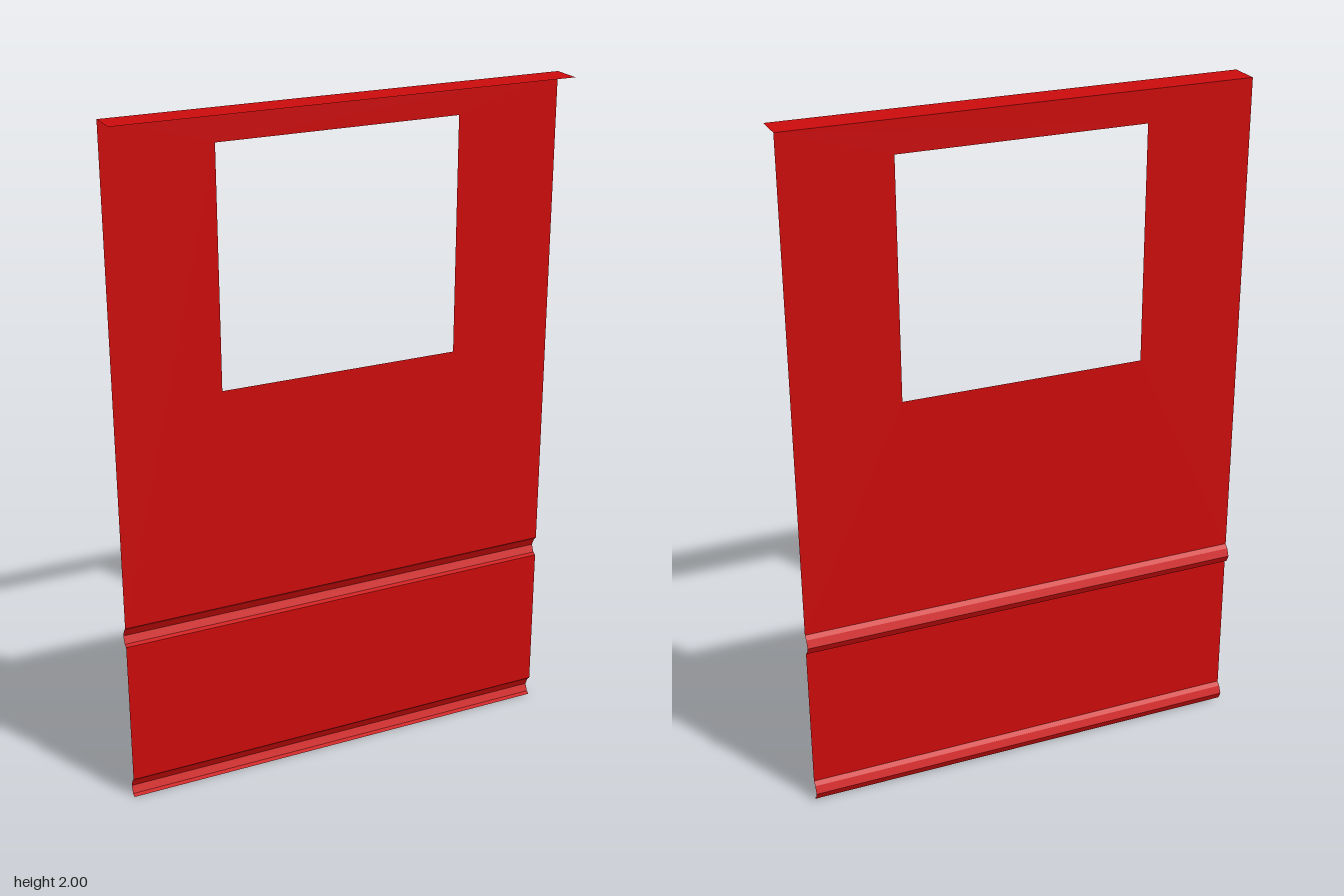
import * as THREE from 'three';

const HALF = 0.667;      // half width of the sheet
const PANEL_Z = -0.035;  // plane of the flat panels

const material = new THREE.MeshStandardMaterial({
  color: 0xcc0b0b, side: THREE.DoubleSide, flatShading: true,
});

// Thin sheet running across x, folded along a [y, z] profile listed top to bottom
function foldedSheet(name, profile) {
  const positions = [], index = [];
  profile.forEach(([y, z], i) => {
    positions.push(-HALF, y, z, HALF, y, z);
    if (i > 0) {
      const a = 2 * (i - 1);
      index.push(a, a + 2, a + 3, a, a + 3, a + 1);
    }
  });
  let geometry = new THREE.BufferGeometry();
  geometry.setAttribute('position', new THREE.Float32BufferAttribute(positions, 3));
  geometry.setIndex(index);
  geometry = geometry.toNonIndexed();
  geometry.computeVertexNormals();
  const mesh = new THREE.Mesh(geometry, material);
  mesh.name = name;
  return mesh;
}

function rectangle(path, x0, y0, x1, y1) {
  path.moveTo(x0, y0);
  path.lineTo(x1, y0);
  path.lineTo(x1, y1);
  path.lineTo(x0, y1);
  path.closePath();
  return path;
}

// Groove pressed towards the back, with its lower edge at height y
function rib(name, y) {
  return foldedSheet(name, [
    [y + 0.06, PANEL_Z],
    [y + 0.049, -0.046],
    [y + 0.027, -0.056],
    [y + 0.005, -0.046],
    [y, PANEL_Z],
  ]);
}

export function createModel() {
  const group = new THREE.Group();
  group.name = 'windowPanel';

  // Upper panel with the window opening
  const shape = rectangle(new THREE.Shape(), -HALF, 0.56, HALF, 2);
  shape.holes.push(rectangle(new THREE.Path(), -0.355, 1.222, 0.358, 1.908));
  const upper = new THREE.Mesh(new THREE.ShapeGeometry(shape), material);
  upper.name = 'upperPanel';
  upper.position.z = PANEL_Z;
  group.add(upper);

  // Flange folded forward along the top edge
  group.add(foldedSheet('topFlange', [[2, PANEL_Z], [2, 0.056]]));

  // Lower panel between the two pressed ribs
  group.add(foldedSheet('lowerPanel', [[0.5, PANEL_Z], [0.06, PANEL_Z]]));
  group.add(rib('middleRib', 0.5), rib('bottomRib', 0));

  return group;
}
